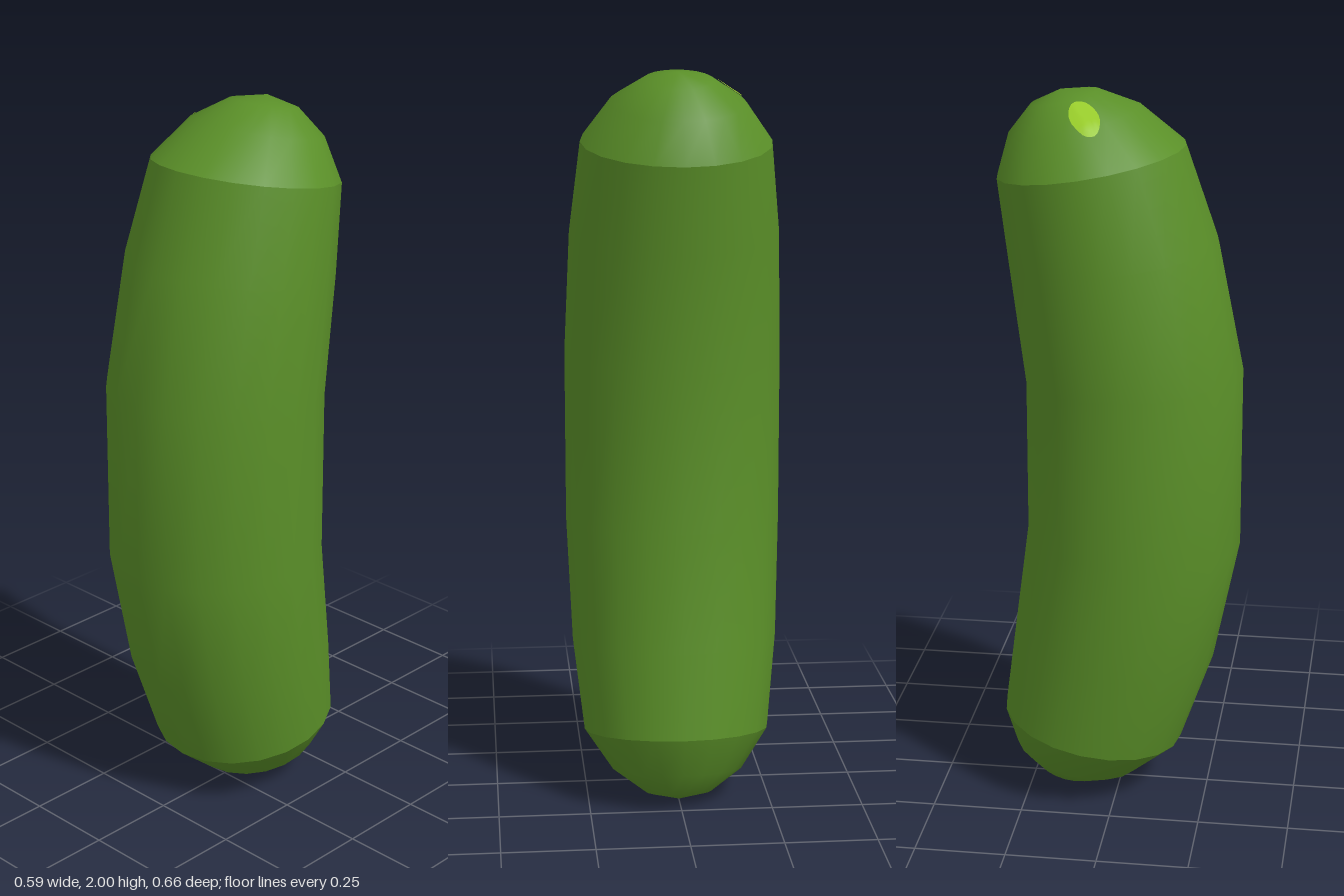
import * as THREE from 'three';
import { mergeVertices } from 'three/addons/utils/BufferGeometryUtils.js';

const SIDES = 20;

// Upper half cross-sections: centre y, centre z, radius, tilt in degrees
const bodyRings = [
  [1.235, 0.036, 0.297, 3.5],
  [1.57, -0.02, 0.284, 6.5],
  [1.815, -0.08, 0.256, 10.2],
];
const capRings = [
  [1.815, -0.08, 0.256, 10.2],
  [1.92, -0.125, 0.18, 12.5],
  [1.98, -0.15, 0.092, 12.5],
  [2.0, -0.16, 0, 12.5],
];

// Same rings reflected to the lower half, ordered from bottom to top
const mirrored = (rings) => rings.map(([y, z, r, t]) => [2 - y, z, r, -t]).reverse();

// Skin a stack of tilted rings (bottom to top) with smooth normals
function loft(rings) {
  const pos = [];
  const idx = [];
  rings.forEach(([y, z, r, tilt], i) => {
    const t = THREE.MathUtils.degToRad(tilt);
    for (let j = 0; j < SIDES; j++) {
      const a = (j / SIDES) * Math.PI * 2;
      const s = r * Math.sin(a);
      pos.push(r * Math.cos(a), y + s * Math.sin(t), z + s * Math.cos(t));
      if (i === 0) continue;
      const k = (j + 1) % SIDES;
      const lo = (i - 1) * SIDES;
      const hi = i * SIDES;
      idx.push(lo + j, hi + j, lo + k, lo + k, hi + j, hi + k);
    }
  });
  const geo = new THREE.BufferGeometry();
  geo.setAttribute('position', new THREE.Float32BufferAttribute(pos, 3));
  geo.setIndex(idx);
  const merged = mergeVertices(geo);
  merged.computeVertexNormals();
  return merged;
}

// Small oval draped over the top cap
function drapedSpot(cap) {
  const geo = new THREE.RingGeometry(0, 1, 24, 4);
  geo.rotateX(-Math.PI / 2);
  geo.scale(0.054, 1, 0.036);
  geo.rotateY(0.65);
  geo.translate(-0.138, 0, -0.077);
  const ray = new THREE.Raycaster();
  const down = new THREE.Vector3(0, -1, 0);
  const p = geo.attributes.position;
  for (let i = 0; i < p.count; i++) {
    ray.set(new THREE.Vector3(p.getX(i), 3, p.getZ(i)), down);
    const hit = ray.intersectObject(cap)[0];
    p.setY(i, (hit ? hit.point.y : 1.94) + 0.004);
  }
  geo.computeVertexNormals();
  return geo;
}

export function createModel() {
  const skin = new THREE.MeshStandardMaterial({ color: 0x5a8f28 });
  skin.name = 'green skin';
  const pale = new THREE.MeshStandardMaterial({ color: 0x98cc28 });
  pale.name = 'pale green';

  const model = new THREE.Group();
  model.name = 'cucumber';
  const add = (name, geo, mat) => {
    const mesh = new THREE.Mesh(geo, mat);
    mesh.name = name;
    model.add(mesh);
    return mesh;
  };

  // Curved body and its two domed ends
  add('body', loft([...mirrored(bodyRings), ...bodyRings]), skin);
  add('bottomCap', loft(mirrored(capRings)), skin);
  const topCap = add('topCap', loft(capRings), skin);

  // Pale mark on the top end
  add('stemSpot', drapedSpot(topCap), pale);
  return model;
}
